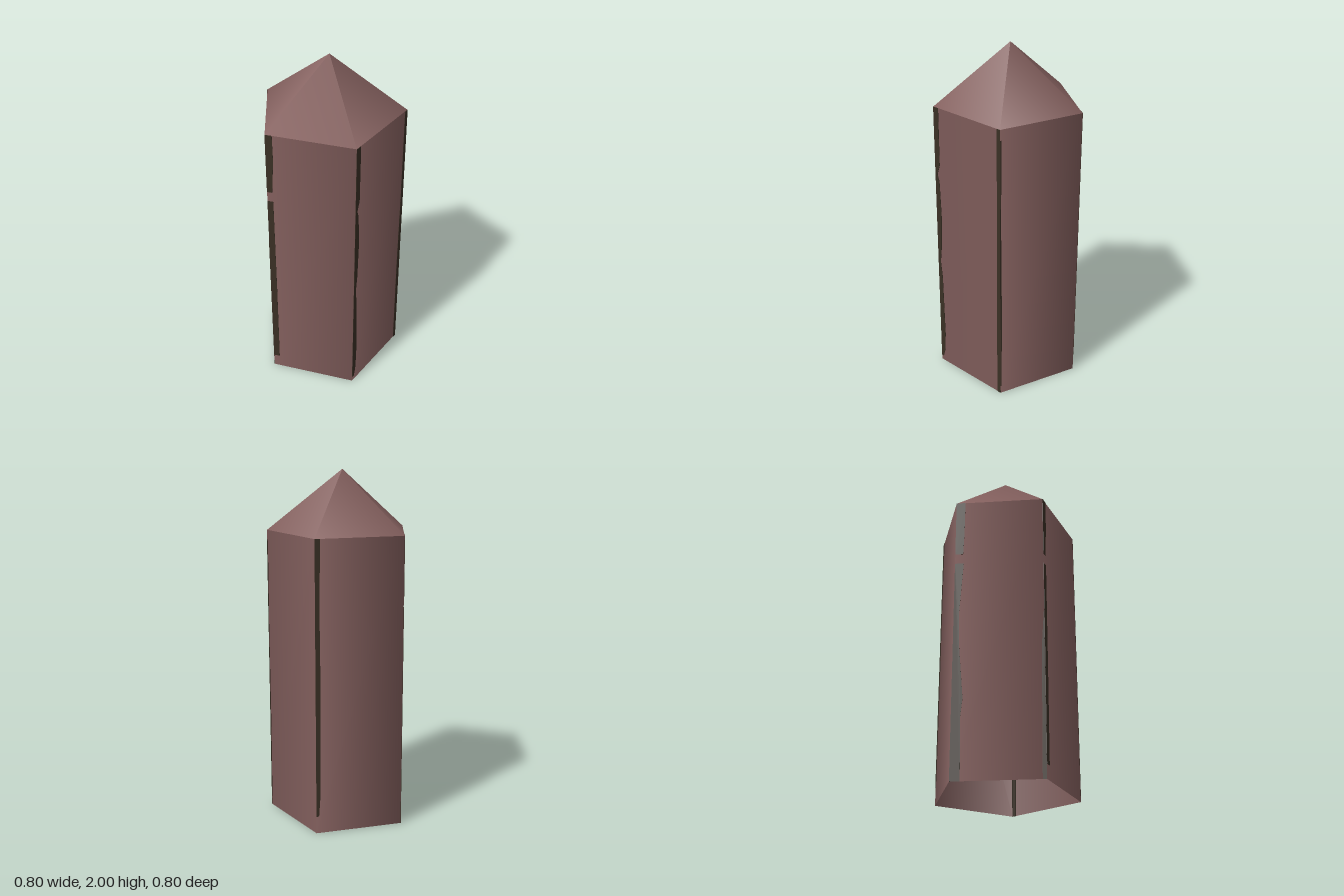
import * as THREE from 'three';

const SIDES = 5, RADIUS = 0.425, EAVE = 1.66, TOP = 2, START = THREE.MathUtils.degToRad(-9);
const STEP = (Math.PI * 2) / SIDES;
const EDGE = 2 * RADIUS * Math.sin(STEP / 2);
const THICK = 0.004;

export function createModel() {
  const model = new THREE.Group();
  model.name = 'pentagonalPillar';

  const body = new THREE.MeshStandardMaterial({ color: 0x84605e, side: THREE.DoubleSide });
  body.name = 'dusty brown';
  const dark = new THREE.MeshStandardMaterial({ color: 0x3a3025, side: THREE.DoubleSide });
  dark.name = 'dark brown';

  // Everything hangs on the pillar axis, slightly off the bounding-box centre
  const axis = new THREE.Group();
  axis.name = 'pillar';
  axis.position.set(0.02, 0, -0.022);
  model.add(axis);

  // Open-bottomed five-sided shaft with softly shaded corners
  const shaft = new THREE.Mesh(
    new THREE.CylinderGeometry(RADIUS, RADIUS, EAVE, SIDES, 1, true, START), body);
  shaft.name = 'shaft';
  shaft.position.y = EAVE / 2;
  axis.add(shaft);

  // Pointed cap
  const cap = new THREE.Mesh(
    new THREE.ConeGeometry(RADIUS, TOP - EAVE, SIDES, 1, true, START), body);
  cap.name = 'pointedCap';
  cap.position.y = (TOP + EAVE) / 2;
  axis.add(cap);

  // Ragged dark strip along one corner of a side; profile holds [height, width] pairs
  function addStrip(side, atEnd, profile) {
    const x = (w) => (atEnd ? EDGE - w : w);
    const shape = new THREE.Shape();
    shape.moveTo(x(0), profile[0][0]);
    for (const [y, w] of profile) shape.lineTo(x(w), y);
    shape.lineTo(x(0), profile[profile.length - 1][0]);
    const geometry = new THREE.ExtrudeGeometry(shape, { depth: THICK, bevelEnabled: false });
    geometry.translate(0, 0, -THICK / 2);
    const strip = new THREE.Mesh(geometry, dark);
    strip.name = 'cornerStrip';
    const corner = START + side * STEP;
    strip.position.set(RADIUS * Math.sin(corner), 0, RADIUS * Math.cos(corner));
    strip.rotation.y = corner + STEP / 2;
    axis.add(strip);
  }

  // Front side
  addStrip(0, false, [[0.03, 0.015], [0.08, 0.03], [0.2, 0.038], [0.6, 0.03], [0.7, 0.018],
    [0.8, 0.03], [1.0, 0.038], [1.22, 0.03], [1.26, 0.016], [1.32, 0.036], [1.66, 0.038]]);
  addStrip(0, true, [[0, 0.024], [0.6, 0.027], [1.1, 0.022], [1.66, 0.024]]);
  // Right-hand and back sides
  addStrip(1, false, [[0.05, 0.004], [0.5, 0.008], [1.1, 0.004], [1.6, 0.007]]);
  addStrip(2, false, [[0.1, 0.015], [0.2, 0.022], [0.8, 0.028], [1.3, 0.024], [1.66, 0.03]]);
  // Back left side
  addStrip(3, false, [[0, 0.055], [0.35, 0.05], [0.45, 0.06], [0.75, 0.035], [0.95, 0.03], [1.26, 0.05]]);
  addStrip(3, false, [[1.32, 0.045], [1.45, 0.05], [1.66, 0.052]]);
  addStrip(3, true, [[0, 0.022], [0.5, 0.018], [0.75, 0.015], [0.95, 0.002]]);
  // Front left side
  addStrip(4, false, [[0.08, 0.035], [0.6, 0.036], [1.24, 0.034]]);
  addStrip(4, false, [[1.3, 0.03], [1.5, 0.042], [1.66, 0.04]]);

  return model;
}
